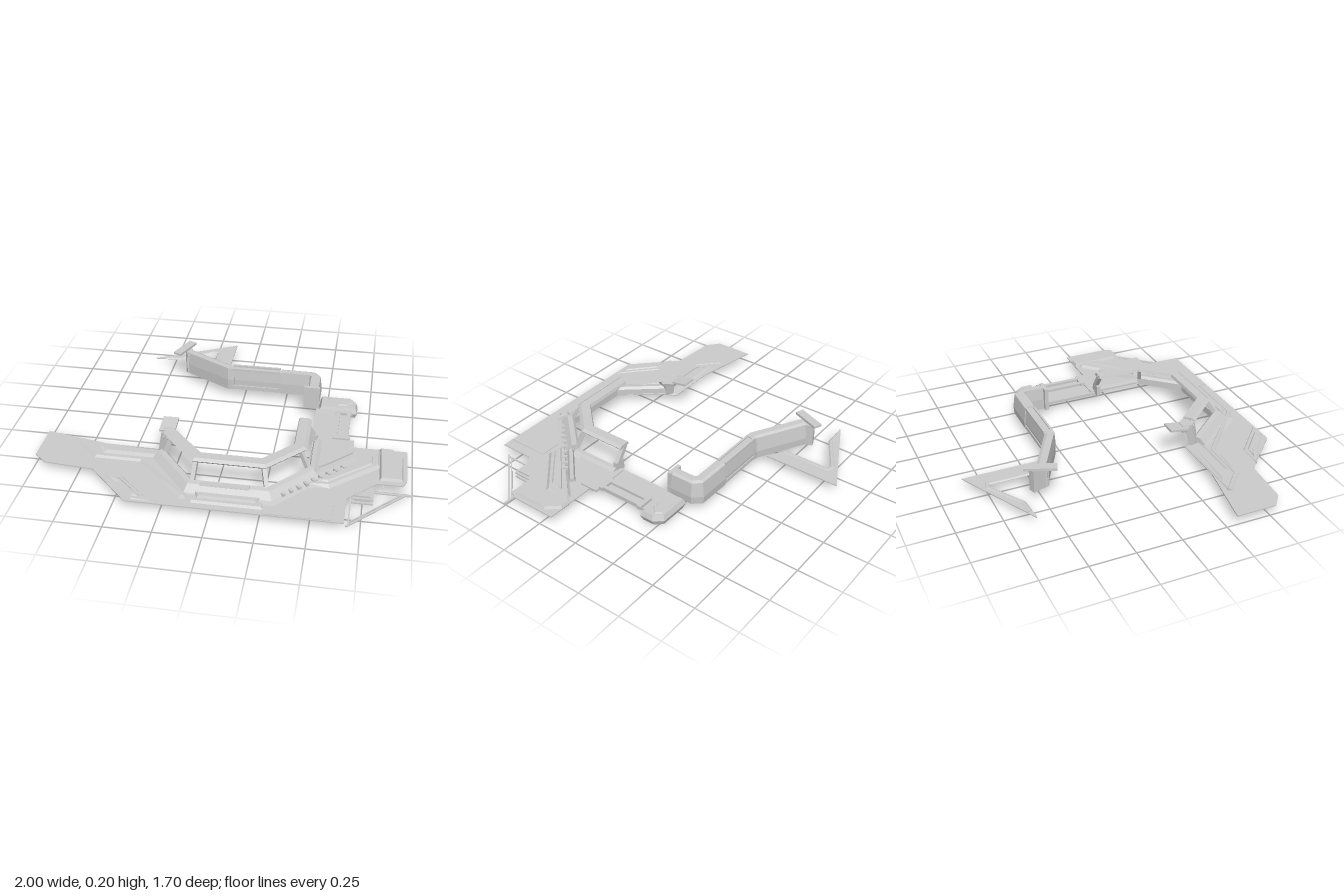
import * as THREE from 'three';

const mat = new THREE.MeshStandardMaterial({ color: 0xcccccc, flatShading: true, side: THREE.DoubleSide });

export function createModel() {
  const model = new THREE.Group();
  const add = (name, geo) => {
    const m = new THREE.Mesh(geo, mat);
    m.name = name;
    model.add(m);
    return m;
  };

  // Horizontal slab from an [x, z] outline; inset > 0 slopes the sides inwards to the top
  const plate = (name, pts, y0, y1, inset = 0) => {
    const shape = new THREE.Shape(pts.map(([x, z]) => new THREE.Vector2(x, -z)));
    const geo = new THREE.ExtrudeGeometry(shape, inset
      ? { depth: 0.001, bevelThickness: y1 - y0, bevelSize: inset, bevelOffset: -inset, bevelSegments: 1 }
      : { depth: y1 - y0, bevelEnabled: false });
    geo.rotateX(-Math.PI / 2).translate(0, y0, 0);
    return add(name, geo);
  };

  // Square bar between two points
  const bar = (name, a, b, w, h = w) => {
    const p = new THREE.Vector3(...a), q = new THREE.Vector3(...b);
    const m = add(name, new THREE.BoxGeometry(w, h, p.distanceTo(q)));
    m.position.copy(p).lerp(q, 0.5);
    m.lookAt(q);
    return m;
  };

  // Mitred sweep of an [outward offset, y] section along an [x, z] path
  const sweep = (name, path, section) => {
    const P = path.map(([x, z]) => new THREE.Vector2(x, z));
    const normal = i => {
      const d = P[i + 1].clone().sub(P[i]).normalize();
      return new THREE.Vector2(-d.y, d.x);
    };
    const rings = P.map((p, i) => {
      const n0 = normal(Math.max(i - 1, 0)), n1 = normal(Math.min(i, P.length - 2));
      const m = n0.clone().add(n1).normalize();
      m.divideScalar(m.dot(n1));
      return section.map(([o, y]) => [p.x + m.x * o, y, p.y + m.y * o]);
    });
    const v = [], n = section.length;
    for (let i = 0; i < rings.length - 1; i++) {
      for (let j = 0; j < n; j++) {
        const k = (j + 1) % n;
        const a = rings[i][j], b = rings[i + 1][j], c = rings[i + 1][k], d = rings[i][k];
        v.push(...a, ...b, ...c, ...a, ...c, ...d);
      }
    }
    const tris = THREE.ShapeUtils.triangulateShape(section.map(s => new THREE.Vector2(...s)), []);
    const last = rings[rings.length - 1];
    for (const [a, b, c] of tris) {
      v.push(...rings[0][a], ...rings[0][b], ...rings[0][c], ...last[a], ...last[c], ...last[b]);
    }
    const geo = new THREE.BufferGeometry();
    geo.setAttribute('position', new THREE.Float32BufferAttribute(v, 3));
    geo.computeVertexNormals();
    return add(name, geo);
  };

  // Main deck
  plate('deck', [[-1, 0.305], [-0.6, 0.38], [-0.32, 0.375], [-0.29, 0.45], [-0.11, 0.67], [0.27, 0.67],
    [0.46, 0.46], [0.46, 0.165], [0.68, 0.165], [0.68, 0.19], [0.97, 0.19], [0.97, 0.455], [0.95, 0.5], [0.82, 0.5],
    [0.67, 0.65], [0.67, 0.845], [-0.43, 0.845], [-0.66, 0.61], [-0.93, 0.59], [-1, 0.53]], 0.05, 0.056);

  // Raised walkway and its edging
  plate('walkway', [[-0.8, 0.375], [-0.32, 0.375], [-0.29, 0.45], [-0.11, 0.67], [0.27, 0.67], [0.27, 0.8],
    [-0.08, 0.8], [-0.42, 0.5], [-0.67, 0.5]], 0.055, 0.062, 0.01);
  sweep('walkwayEdge', [[-0.79, 0.38], [-0.67, 0.49], [-0.42, 0.49], [-0.09, 0.79], [0.26, 0.79]],
    [[-0.012, 0.055], [0.02, 0.055], [0.008, 0.067], [-0.004, 0.067]]);
  plate('leftRamp', [[-0.72, 0.385], [-0.33, 0.385], [-0.31, 0.47], [-0.4, 0.475], [-0.64, 0.475]], 0.06, 0.072, 0.025);
  plate('hatchFrame', [[-0.63, 0.65], [-0.49, 0.65], [-0.3, 0.83], [-0.4, 0.83], [-0.52, 0.73]], 0.055, 0.06, 0.006);
  plate('hatch', [[-0.58, 0.665], [-0.5, 0.665], [-0.35, 0.81], [-0.4, 0.81], [-0.5, 0.71]], 0.058, 0.066, 0.012);

  // Curb under the window band
  const curbPath = [[-0.31, 0.43], [-0.11, 0.67], [0.27, 0.67], [0.46, 0.46], [0.46, 0.17]];
  sweep('curb', curbPath.slice(0, 4), [[0, 0.05], [0.12, 0.055], [0.075, 0.066], [0.04, 0.1], [0.012, 0.104], [0, 0.09]]);
  sweep('sideCurb', [[0.46, 0.46], [0.46, 0.17]], [[-0.005, 0.05], [0.06, 0.055], [0.03, 0.08], [0.008, 0.08]]);
  plate('frontConsole', [[-0.09, 0.735], [0.25, 0.735], [0.23, 0.775], [-0.07, 0.775]], 0.06, 0.075, 0.008);
  plate('sillPanel', [[-0.07, 0.69], [0.19, 0.69], [0.19, 0.715], [-0.07, 0.715]], 0.095, 0.108, 0.004);

  // Window band: top rail and sloping posts
  const railPath = [[-0.27, 0.42], [-0.1, 0.605], [0.245, 0.605], [0.41, 0.43], [0.41, 0.165]];
  sweep('topRail', railPath, [[-0.035, 0.186], [0.03, 0.18], [0.038, 0.19], [0.02, 0.202], [-0.03, 0.202]]);
  railPath.forEach(([x, z], i) => {
    const [cx, cz] = curbPath[i];
    if (i < 4) bar('windowPost', [x, 0.192, z + 0.015], [cx, 0.09, cz + 0.012], 0.022);
  });
  plate('endPostFoot', [[0.42, 0.165], [0.48, 0.165], [0.48, 0.19], [0.42, 0.19]], 0.05, 0.11);
  bar('endPost', [0.4, 0.192, 0.175], [0.462, 0.1, 0.175], 0.025);

  // Flared bracket on the left end of the band
  bar('bracketPost', [-0.32, 0.055, 0.43], [-0.3, 0.185, 0.41], 0.05, 0.04);
  plate('bracketNeck', [[-0.33, 0.35], [-0.27, 0.35], [-0.23, 0.41], [-0.25, 0.46], [-0.32, 0.43]], 0.17, 0.19, 0.006);
  bar('bracketPlate', [-0.308, 0.178, 0.38], [-0.308, 0.194, 0.268], 0.085, 0.012);

  // Right-hand plateau, diagonal stair and its treads
  plate('sidePlateau', [[0.82, 0.19], [0.89, 0.19], [0.95, 0.26], [0.95, 0.47], [0.83, 0.47]], 0.055, 0.07, 0.008);
  plate('stairBase', [[0.45, 0.58], [0.58, 0.58], [0.83, 0.36], [0.83, 0.21], [0.79, 0.22]], 0.055, 0.072, 0.015);
  plate('stairTop', [[0.51, 0.55], [0.57, 0.55], [0.79, 0.36], [0.79, 0.28]], 0.07, 0.08, 0.01);
  sweep('diagonalRail', [[0.27, 0.71], [0.69, 0.3]], [[-0.015, 0.055], [0.025, 0.055], [0.012, 0.078], [-0.008, 0.078]]);
  for (let i = 0; i < 9; i++) {
    const x = 0.34 + i * 0.036, z = 0.67 - i * 0.035;
    bar('tread', [x, 0.066, z], [x + 0.022, 0.066, z + 0.022], 0.018, 0.024);
  }
  plate('cornerPanel', [[0.27, 0.72], [0.45, 0.6], [0.61, 0.6], [0.61, 0.84], [0.27, 0.84]], 0.055, 0.059);

  // Bridge leading back to the arm
  plate('landing', [[0.455, 0.14], [0.68, 0.14], [0.68, 0.25], [0.55, 0.38], [0.455, 0.45]], 0.055, 0.066);
  plate('landingPanel', [[0.458, 0.27], [0.49, 0.27], [0.49, 0.35], [0.458, 0.35]], 0.064, 0.072, 0.004);
  plate('bridge', [[0.445, -0.17], [0.64, -0.17], [0.64, 0.165], [0.445, 0.165]], 0.046, 0.06);
  for (const x of [0.575, 0.635]) bar('bridgeRail', [x, 0.064, -0.14], [x, 0.064, 0.14], 0.022, 0.022);
  for (const z of [-0.13, 0.13]) bar('bridgeEnd', [0.56, 0.066, z], [0.655, 0.066, z], 0.025, 0.02);
  plate('rearBlock', [[0.46, -0.29], [0.64, -0.29], [0.68, -0.24], [0.68, -0.16], [0.46, -0.16]], 0.046, 0.076, 0.012);
  plate('rearBlockCap', [[0.49, -0.27], [0.63, -0.27], [0.66, -0.235], [0.62, -0.19], [0.57, -0.19]], 0.07, 0.08, 0.01);

  // Rear arm: elbow, straight panel section and diagonal section
  const wall = [[-0.03, 0.055], [0.032, 0.055], [0.036, 0.1], [0.026, 0.185], [0.01, 0.193], [-0.026, 0.193], [-0.032, 0.12]];
  sweep('armElbow', [[0.425, -0.17], [0.425, -0.31], [0.4, -0.338], [0.22, -0.34]], wall);
  sweep('armPanel', [[0.22, -0.34], [-0.08, -0.34]], wall.map(([o, y]) => [o * 0.85, y - (y > 0.18 ? 0.006 : 0)]));
  sweep('armDiagonal', [[-0.06, -0.34], [-0.09, -0.34], [-0.37, -0.495]], wall);
  bar('elbowCollar', [0.37, 0.125, -0.18], [0.46, 0.125, -0.18], 0.022, 0.135);
  for (const s of [-1, 1]) {
    bar('panelRail', [-0.07, 0.188, -0.34 + s * 0.022], [0.21, 0.188, -0.34 + s * 0.022], 0.012);
    bar('panelTrim', [-0.07, 0.075, -0.34 + s * 0.029], [0.21, 0.075, -0.34 + s * 0.029], 0.012, 0.02);
  }

  // Flared end of the arm
  bar('armEndWall', [-0.385, 0.12, -0.555], [-0.355, 0.12, -0.46], 0.04, 0.13);
  bar('armEndCap', [-0.43, 0.198, -0.428], [-0.365, 0.198, -0.588], 0.05, 0.014);

  // Angular fin behind the arm
  plate('fin', [[-0.61, -0.61], [-0.13, -0.855], [-0.13, -0.41], [-0.235, -0.47], [-0.235, -0.74],
    [-0.26, -0.752], [-0.46, -0.62], [-0.6, -0.608]], 0.05, 0.056);
  sweep('finEdge', [[-0.55, -0.625], [-0.46, -0.63], [-0.26, -0.755], [-0.225, -0.745], [-0.225, -0.47]],
    [[-0.014, 0.054], [0.014, 0.054], [0.007, 0.06], [-0.007, 0.06]]);

  // Pod and thin frame below the right corner
  plate('pod', [[0.71, 0.52], [0.79, 0.52], [0.79, 0.61], [0.71, 0.61]], 0.008, 0.052);
  for (const y of [0.01, 0.035]) plate('podFlange', [[0.695, 0.51], [0.805, 0.51], [0.805, 0.625], [0.695, 0.625]], y, y + 0.008);
  bar('frameRod', [0.68, 0.005, 0.805], [0.96, 0.005, 0.515], 0.01, 0.006);
  bar('frameRod', [0.69, 0.005, 0.775], [0.94, 0.005, 0.515], 0.006);
  bar('frameRod', [0.8, 0.005, 0.51], [1, 0.005, 0.51], 0.014, 0.006);
  bar('frameRod', [0.69, 0.005, 0.62], [0.69, 0.005, 0.8], 0.008, 0.006);
  for (const [x, z] of [[0.69, 0.64], [0.85, 0.51]]) bar('frameStrut', [x, 0.003, z], [x, 0.052, z - 0.02], 0.008);

  return model;
}
